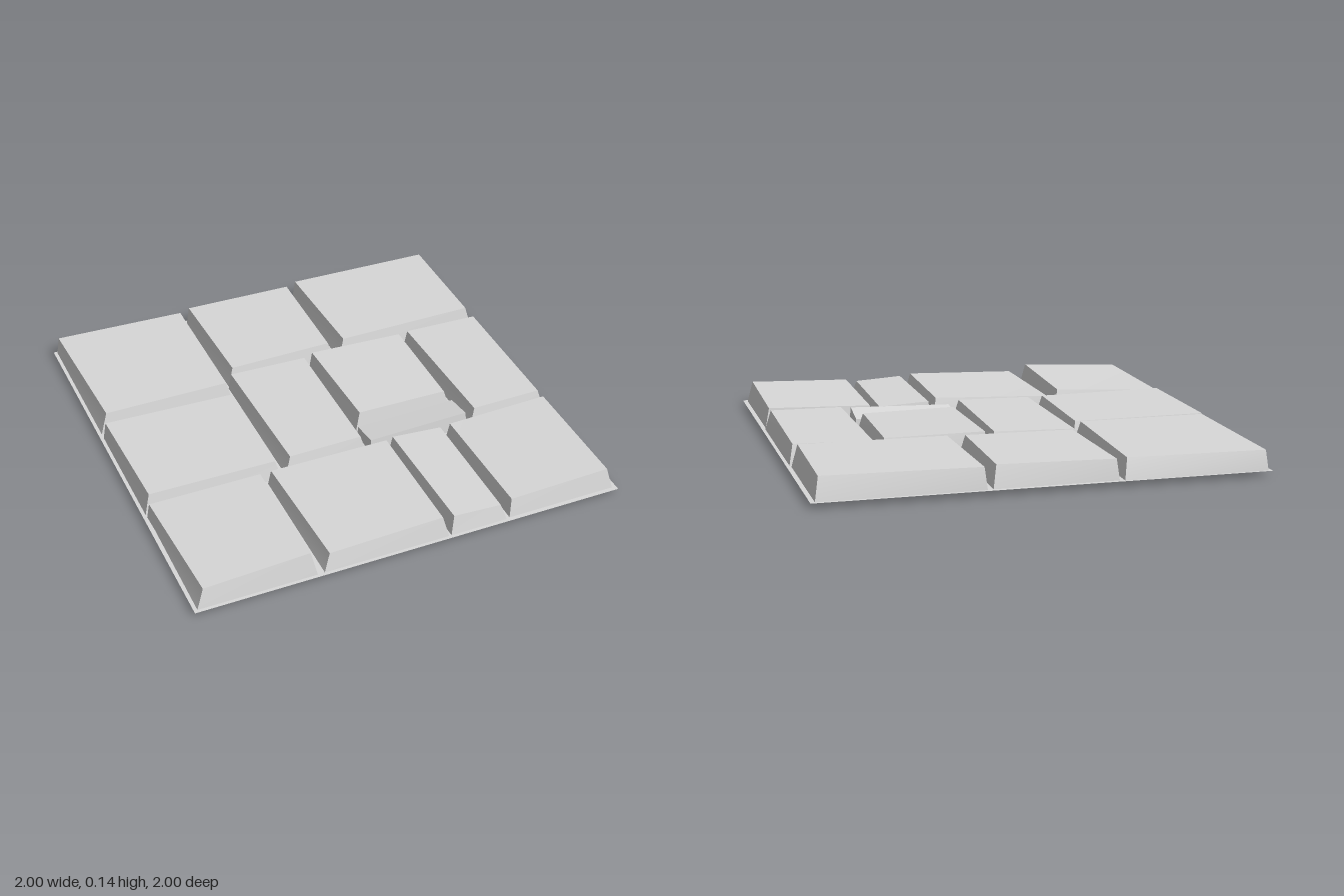
import * as THREE from 'three';

const BED_Y = 0.025;
const FLAT = 0.022;

// Each stone: x0, x1, z0, z1, mean top height, rise along x, rise along z,
// bottom at back left corner, skew of the top outline
const STONES = [
  [-0.985, -0.335, -0.99, -0.285, 0.12, 0.0, 0.01, FLAT, 1],
  [-0.315, 0.235, -0.98, -0.395, 0.12, 0.005, 0.0, FLAT, 0.7],
  [0.26, 0.98, -0.985, -0.395, 0.125, 0.003, 0.003, FLAT, 0.8],
  [-0.985, -0.34, -0.255, 0.335, 0.115, -0.005, 0.005, FLAT, 0.6],
  [-0.32, 0.08, -0.385, 0.33, 0.115, 0.005, 0.003, FLAT, 0.7],
  [0.095, 0.58, -0.38, 0.17, 0.12, -0.006, 0.0, FLAT, 0.6],
  [0.095, 0.585, 0.185, 0.335, 0.09, 0.012, 0.025, 0.0, 0],
  [0.6, 0.985, -0.375, 0.34, 0.115, 0.003, 0.003, FLAT, 0.6],
  [-0.985, -0.445, 0.35, 0.985, 0.121, 0.025, 0.014, 0.01, 1],
  [-0.415, 0.17, 0.35, 0.985, 0.114, 0.016, 0.005, FLAT, 0.8],
  [0.18, 0.45, 0.35, 0.985, 0.105, -0.014, 0.005, FLAT, 0.2],
  [0.465, 0.98, 0.36, 0.98, 0.115, 0.014, 0.008, FLAT, 0],
];

function stoneGeometry([x0, x1, z0, z1, height, riseX, riseZ, low, skew]) {
  // Uneven chamfer at the top corners: back left, back right, front left, front right
  const inset = [
    [0.012, 0.01], [0.02, 0.012 + 0.026 * skew],
    [0.014 + 0.021 * skew, 0.018], [0.026, 0.018],
  ];
  const chamfer = z1 - z0 < 0.3 ? 0.3 : 1; // the sunken stone is barely chamfered
  const geo = new THREE.BoxGeometry(1, 1, 1);
  const p = geo.attributes.position;
  for (let i = 0; i < p.count; i++) {
    const sx = Math.sign(p.getX(i)), sz = Math.sign(p.getZ(i));
    const top = p.getY(i) > 0;
    const [dx, dz] = inset[(sx > 0 ? 1 : 0) + (sz > 0 ? 2 : 0)];
    const k = top ? chamfer : 0;
    const bottom = sx < 0 && sz < 0 ? low : FLAT;
    p.setXYZ(i,
      (sx > 0 ? x1 : x0) - sx * dx * k,
      top ? height + (sx * riseX + sz * riseZ) / 2 : bottom,
      (sz > 0 ? z1 : z0) - sz * dz * k);
  }
  geo.computeVertexNormals();
  return geo;
}

export function createModel() {
  const group = new THREE.Group();
  group.name = 'stoneFloorTile';
  const stone = new THREE.MeshStandardMaterial({ color: 0xd8d8d8, side: THREE.DoubleSide });
  stone.name = 'stoneGrey';

  // Thin bed between the paving stones, visible from both sides
  const bed = new THREE.Mesh(new THREE.PlaneGeometry(2, 2).rotateX(-Math.PI / 2), stone);
  bed.position.y = BED_Y;
  bed.name = 'mortarBed';
  group.add(bed);

  // Paving stones with tilted tops
  STONES.forEach((s, i) => {
    const mesh = new THREE.Mesh(stoneGeometry(s), stone);
    mesh.name = `pavingStone${i + 1}`;
    group.add(mesh);
  });
  return group;
}
